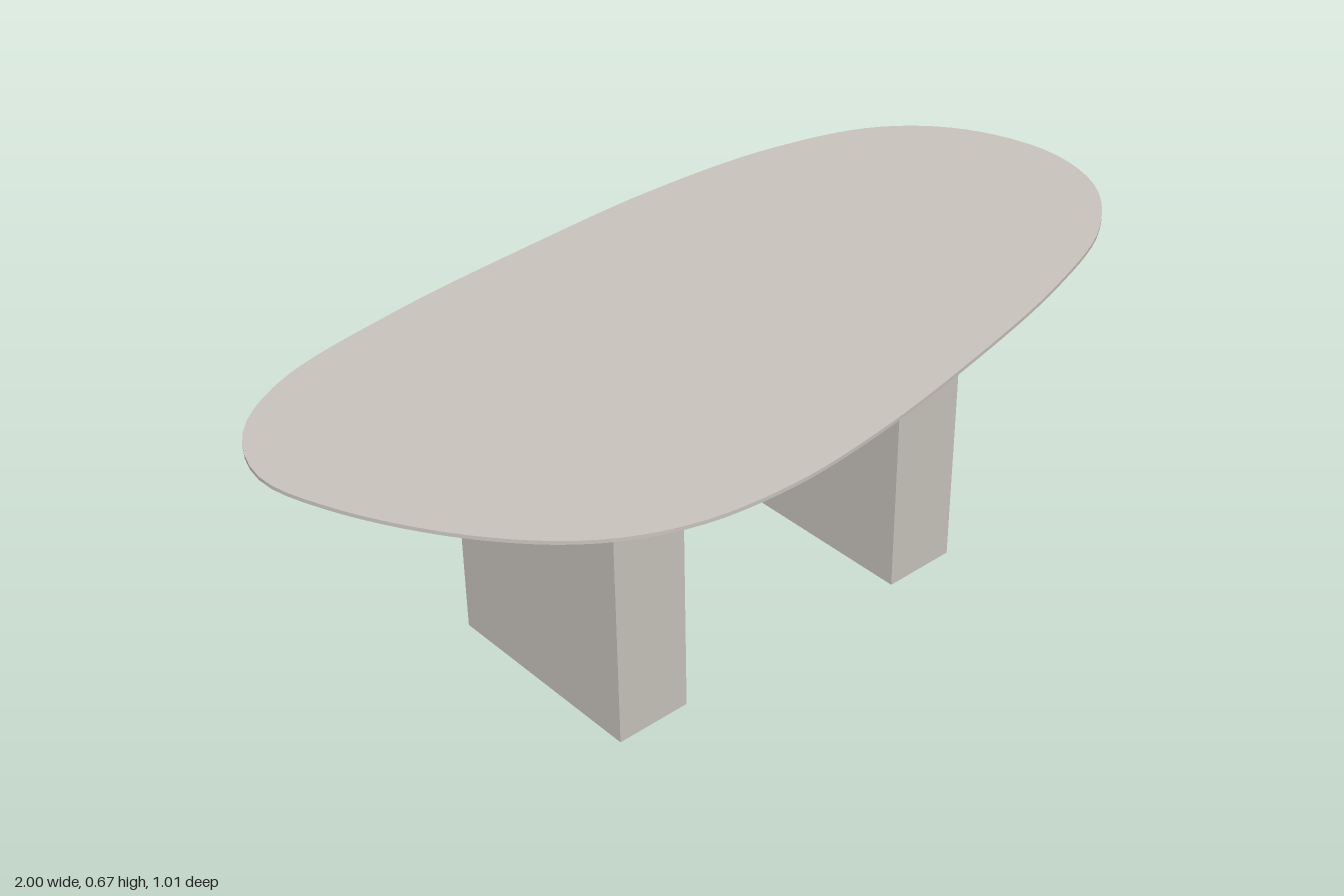
import * as THREE from 'three';

const TOP_Y = 0.672, RIM_Y = 0.664, UNDER_Y = 0.633, INSET = 0.077;

// Control points of the pebble-shaped outline, as [x, z]
const OUTLINE = [
  [-1, -0.15], [-0.945, -0.29], [-0.8, -0.392], [-0.5, -0.457], [-0.1, -0.494],
  [0.23, -0.508], [0.55, -0.482], [0.8, -0.4], [0.94, -0.26], [1, -0.06],
  [0.955, 0.115], [0.81, 0.254], [0.57, 0.35], [0.2, 0.438], [-0.1, 0.489],
  [-0.32, 0.503], [-0.52, 0.475], [-0.68, 0.395], [-0.83, 0.24], [-0.96, 0.01],
];

// Smooth closed loop, and the same loop moved inwards along its normals
function makeLoops(count) {
  const curve = new THREE.CatmullRomCurve3(
    OUTLINE.map(([x, z]) => new THREE.Vector3(x, 0, z)), true, 'centripetal');
  const outer = [], inner = [];
  for (let i = 0; i < count; i++) {
    const p = curve.getPointAt(i / count);
    const t = curve.getTangentAt(i / count);
    outer.push([p.x, p.z]);
    inner.push([p.x - t.z * INSET, p.z + t.x * INSET]);
  }
  return { outer, inner };
}

// Strip of faces between two loops, facing outwards
function band(lower, lowerY, upper, upperY) {
  const n = lower.length, pos = [], index = [];
  lower.forEach(([x, z]) => pos.push(x, lowerY, z));
  upper.forEach(([x, z]) => pos.push(x, upperY, z));
  for (let i = 0; i < n; i++) {
    const j = (i + 1) % n;
    index.push(i, n + i, j, j, n + i, n + j);
  }
  const geo = new THREE.BufferGeometry();
  geo.setAttribute('position', new THREE.Float32BufferAttribute(pos, 3));
  geo.setIndex(index);
  geo.computeVertexNormals();
  return geo;
}

// Flat face filling a loop; side is 1 for upwards, -1 for downwards
function cap(loop, y, side) {
  const shape = new THREE.Shape(loop.map(([x, z]) => new THREE.Vector2(x, -side * z)));
  return new THREE.ShapeGeometry(shape).rotateX(-side * Math.PI / 2).translate(0, y, 0);
}

export function createModel() {
  const model = new THREE.Group();
  model.name = 'table';
  const stone = new THREE.MeshStandardMaterial({ color: 0xc8c3bc });
  stone.name = 'warm grey stone';

  const add = (parent, name, geometry) => {
    const mesh = new THREE.Mesh(geometry, stone);
    mesh.name = name;
    parent.add(mesh);
    return mesh;
  };

  // Tabletop: thin upright rim above a wide bevel on the underside
  const tabletop = new THREE.Group();
  tabletop.name = 'tabletop';
  model.add(tabletop);
  const { outer, inner } = makeLoops(128);
  add(tabletop, 'topSurface', cap(outer, TOP_Y, 1));
  add(tabletop, 'rim', band(outer, RIM_Y, outer, TOP_Y));
  add(tabletop, 'underBevel', band(inner, UNDER_Y, outer, RIM_Y));
  add(tabletop, 'underside', cap(inner, UNDER_Y, -1));

  // Two slab legs
  for (const [name, x] of [['rightLeg', -0.417], ['leftLeg', 0.337]]) {
    add(model, name, new THREE.BoxGeometry(0.172, UNDER_Y, 0.496))
      .position.set(x, UNDER_Y / 2, -0.02);
  }
  return model;
}
